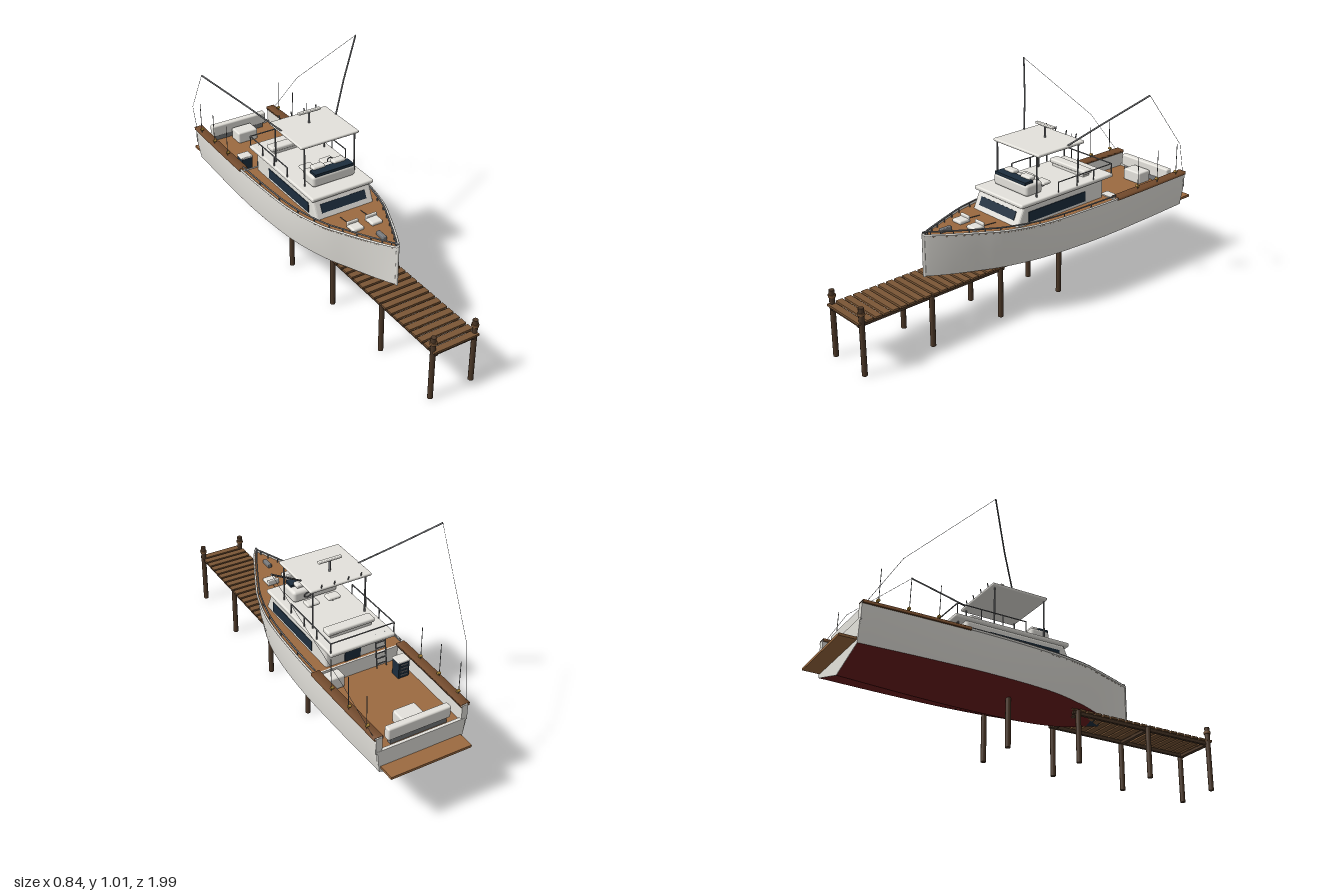
import * as THREE from 'three';
import { RoundedBoxGeometry } from 'three/addons/geometries/RoundedBoxGeometry.js';

const mat = (color) => new THREE.MeshStandardMaterial({ color, side: THREE.DoubleSide });
const V = (x, y, z) => new THREE.Vector3(x, y, z);

export function createModel() {
  const root = new THREE.Group();
  const white = mat(0xe4e2dc), red = mat(0x6b1c1c), teak = mat(0x9c6a40), trim = mat(0x744b2c);
  const navy = mat(0x1c2d3d), metal = mat(0x77797c), plank = mat(0x7a5636), pile = mat(0x4c3828), gold = mat(0xb08a3a);

  const add = (name, geo, m, x = 0, y = 0, z = 0) => {
    const mesh = new THREE.Mesh(geo, m);
    mesh.name = name;
    mesh.position.set(x, y, z);
    root.add(mesh);
    return mesh;
  };
  const box = (name, m, w, h, d, x, y, z) => add(name, new THREE.BoxGeometry(w, h, d), m, x, y, z);
  const soft = (name, m, w, h, d, x, y, z, r = 0.008) => add(name, new RoundedBoxGeometry(w, h, d, 3, r), m, x, y, z);
  const rod = (name, m, a, b, r, sides = 8) => {
    const d = b.clone().sub(a), mid = a.clone().add(b).multiplyScalar(0.5);
    const mesh = add(name, new THREE.CylinderGeometry(r, r, d.length(), sides), m, mid.x, mid.y, mid.z);
    mesh.quaternion.setFromUnitVectors(V(0, 1, 0), d.normalize());
    return mesh;
  };
  const path = (name, m, pts, r) => {
    for (let i = 1; i < pts.length; i++) rod(name, m, pts[i - 1], pts[i], r, 6);
  };
  // Surface spanned between rows, each row a function t -> point
  const loft = (name, m, rows, t0 = 0, t1 = 1, n = 36) => {
    const pos = [], idx = [], k = rows.length;
    for (let i = 0; i <= n; i++) for (const row of rows) pos.push(...row(t0 + (t1 - t0) * i / n).toArray());
    for (let i = 0; i < n; i++) for (let j = 0; j < k - 1; j++) {
      const a = i * k + j, b = a + k;
      idx.push(a, b, a + 1, b, b + 1, a + 1);
    }
    const g = new THREE.BufferGeometry();
    g.setAttribute('position', new THREE.Float32BufferAttribute(pos, 3));
    g.setIndex(idx);
    g.computeVertexNormals();
    return add(name, g, m);
  };
  // Side profile of (z, y) points, extruded across the boat
  const acrossX = (name, m, pts, width, bevel) => {
    const g = new THREE.ExtrudeGeometry(new THREE.Shape(pts.map(p => new THREE.Vector2(...p))), {
      depth: width - 2 * bevel, bevelEnabled: true, bevelSize: bevel, bevelThickness: bevel, bevelSegments: 3 });
    g.rotateY(-Math.PI / 2);
    return add(name, g, m, width / 2 - bevel);
  };

  // Hull stations: z, sheer half width, sheer y, chine half width, chine y, keel y
  const stations = [
    [-0.92, 0.226, 0.45, 0.206, 0.27, 0.205], [-0.6, 0.232, 0.45, 0.218, 0.27, 0.19],
    [-0.3, 0.231, 0.45, 0.22, 0.27, 0.182], [0, 0.213, 0.45, 0.196, 0.27, 0.185],
    [0.2, 0.171, 0.457, 0.145, 0.268, 0.205], [0.33, 0.118, 0.466, 0.09, 0.268, 0.235],
    [0.45, 0.062, 0.475, 0.044, 0.274, 0.258], [0.53, 0.021, 0.482, 0.014, 0.282, 0.276],
    [0.56, 0.003, 0.485, 0.003, 0.287, 0.286]];
  const line = (f) => {
    const c = new THREE.CatmullRomCurve3(stations.map(f), false, 'catmullrom', 0.5);
    return (t) => c.getPoint(t);
  };
  const sheer = line(s => V(s[1], s[2], s[0]));
  const chine = line(s => V(s[3], s[4], s[0]));
  const keel = line(s => V(0, s[5], s[0]));
  const tAt = (z) => {
    let a = 0, b = 1;
    for (let i = 0; i < 30; i++) { const m = (a + b) / 2; if (sheer(m).z < z) a = m; else b = m; }
    return a;
  };
  const side = (f, s, dx = 0, dy = 0) => (t) => {
    const p = f(t);
    return V(s * Math.max(p.x + dx, 0), p.y + dy, p.z);
  };
  const bulge = (t) => {
    const p = sheer(t).lerp(chine(t), 0.5);
    p.x += 0.03 * p.x;
    return p;
  };
  const level = (s, y, inset) => (t) => { const p = sheer(t); return V(s * (p.x - inset), y, p.z); };
  const tCockpit = tAt(-0.42), floorY = 0.37;

  for (const s of [-1, 1]) {
    loft('topside', white, [side(sheer, s), side(bulge, s), side(chine, s)]);
    loft('hullBottom', red, [side(chine, s), keel], 0, 0.62);
    loft('forefoot', navy, [side(chine, s), keel], 0.62, 1, 16);
    // Cockpit bulwark and its wooden cap
    loft('bulwarkLining', white, [level(s, 0.45, 0.03), level(s, floorY, 0.03)], 0, tCockpit, 12);
    loft('gunwaleCap', trim, [level(s, 0.442, -0.008), level(s, 0.456, -0.008), level(s, 0.456, 0.034),
      level(s, 0.442, 0.034), level(s, 0.442, -0.008)], 0, tCockpit, 12);
    box('bulwarkEnd', white, 0.03, 0.08, 0.006, s * 0.211, 0.41, -0.918);
    // Bow rail, rub rail and stanchions
    const railT = (i, n) => tCockpit + (1 - tCockpit) * i / n;
    for (const [name, m, dx, dy, r] of [['bowRail', metal, -0.012, 0.012, 0.004], ['rubRail', white, 0.001, 0, 0.005]]) {
      const pts = Array.from({ length: 30 }, (_, i) => side(sheer, s, dx, dy)(railT(i, 29)));
      add(name, new THREE.TubeGeometry(new THREE.CatmullRomCurve3(pts), 60, r, 6), m);
    }
    for (let i = 1; i < 12; i++) {
      const p = side(sheer, s, -0.012, -0.01)(railT(i, 12));
      rod('railPost', metal, p, p.clone().add(V(0, 0.022, 0)), 0.003, 6);
    }
  }
  rod('stem', white, V(0, 0.285, 0.558), V(0, 0.488, 0.558), 0.007);
  loft('foredeck', teak, [side(sheer, -1, 0, -0.01), side(sheer, 1, 0, -0.01)], tCockpit, 1);
  loft('cockpitFloor', teak, [level(-1, floorY, 0.028), level(1, floorY, 0.028)], 0, tCockpit, 12);
  box('bulkhead', white, 0.44, 0.075, 0.008, 0, 0.405, -0.42);
  const transom = new THREE.Shape([[-0.206, 0.27], [0, 0.205], [0.206, 0.27], [0.219, 0.38], [-0.219, 0.38]].map(p => new THREE.Vector2(...p)));
  add('transom', new THREE.ExtrudeGeometry(transom, { depth: 0.015, bevelEnabled: false }), white, 0, 0, -0.922);
  box('swimPlatform', teak, 0.4, 0.012, 0.085, 0, 0.292, -0.958);

  // Cockpit furniture
  soft('benchBack', white, 0.31, 0.06, 0.035, 0, 0.425, -0.885);
  box('benchBase', metal, 0.28, 0.03, 0.02, 0, 0.385, -0.885);
  soft('baitStation', white, 0.11, 0.06, 0.08, 0, 0.4, -0.815);
  soft('cooler', white, 0.09, 0.065, 0.06, 0.152, 0.405, -0.455);
  box('tackleCabinet', navy, 0.055, 0.08, 0.05, -0.155, 0.41, -0.525);
  soft('cabinetTop', white, 0.062, 0.01, 0.056, -0.155, 0.455, -0.525, 0.004);
  for (let i = 0; i < 4; i++) box('drawerHandle', metal, 0.035, 0.004, 0.005, -0.155, 0.385 + i * 0.018, -0.551);

  // Cabin with windows and flybridge deck
  acrossX('cabin', white, [[0.138, 0.44], [0.1, 0.522], [-0.39, 0.522], [-0.39, 0.38], [0, 0.4]], 0.31, 0.012);
  const windshield = box('windshield', navy, 0.24, 0.042, 0.01, 0, 0.485, 0.127);
  windshield.rotation.x = -0.43;
  for (const s of [-1, 1]) box('sideWindow', navy, 0.006, 0.05, 0.36, s * 0.155, 0.478, -0.1);
  box('cabinDoor', navy, 0.08, 0.12, 0.006, 0.02, 0.44, -0.403);
  soft('flybridgeDeck', white, 0.33, 0.02, 0.59, 0, 0.54, -0.165);
  for (const x of [-0.13, -0.08]) rod('ladderRail', metal, V(x, 0.38, -0.45), V(x, 0.55, -0.425), 0.003, 6);
  for (let i = 0; i < 6; i++) rod('ladderRung', metal, V(-0.13, 0.4 + i * 0.026, -0.447 + i * 0.004), V(-0.08, 0.4 + i * 0.026, -0.447 + i * 0.004), 0.003, 6);

  // Flybridge console, helm and seats
  soft('console', white, 0.23, 0.058, 0.1, 0, 0.58, 0.005, 0.015);
  box('consoleScreen', navy, 0.205, 0.014, 0.05, 0, 0.613, 0.03);
  const wheel = add('wheel', new THREE.TorusGeometry(0.018, 0.003, 6, 20), metal, 0.05, 0.59, -0.058);
  wheel.rotation.x = -0.4;
  for (const s of [-1, 1]) {
    soft('helmSeat', white, 0.065, 0.016, 0.05, s * 0.055, 0.572, -0.1);
    rod('seatPost', metal, V(s * 0.055, 0.55, -0.1), V(s * 0.055, 0.57, -0.1), 0.006);
    soft('headrest', white, 0.065, 0.02, 0.04, s * 0.055, 0.621, -0.005);
  }
  soft('aftBench', white, 0.24, 0.022, 0.055, 0, 0.575, -0.335);
  box('aftBenchBase', white, 0.21, 0.02, 0.04, 0, 0.556, -0.335);
  path('flybridgeRail', metal, [V(-0.16, 0.6, -0.1), V(-0.16, 0.6, -0.45), V(-0.09, 0.6, -0.45)], 0.003);
  path('flybridgeRail', metal, [V(0.16, 0.6, -0.1), V(0.16, 0.6, -0.45), V(-0.09, 0.6, -0.45)], 0.003);
  for (const s of [-1, 1]) for (const z of [-0.1, -0.22, -0.33, -0.45])
    rod('flybridgeRailPost', metal, V(s * 0.16, 0.55, z), V(s * 0.16, 0.6, z), 0.003, 6);

  // Hardtop, radar and rod holders
  soft('hardtop', white, 0.31, 0.014, 0.29, 0, 0.752, -0.125, 0.006);
  for (const s of [-1, 1]) for (const z of [0.012, -0.25])
    rod('hardtopPost', metal, V(s * 0.134, 0.55, z), V(s * 0.134, 0.75, z), 0.004);
  rod('radarMast', metal, V(0, 0.755, -0.165), V(0, 0.82, -0.165), 0.005);
  soft('radarBar', white, 0.12, 0.011, 0.018, 0, 0.819, -0.165, 0.004);
  for (const x of [-0.1, -0.035, 0.035, 0.1]) rod('rodHolder', metal, V(x, 0.75, -0.262), V(x, 0.778, -0.27), 0.003, 6);

  // Outriggers with their lines, fishing rods along the gunwales
  for (const s of [-1, 1]) {
    path('outrigger', metal, [V(s * 0.145, 0.755, -0.165), V(s * 0.26, 0.865, -0.275), V(s * 0.415, 1.007, -0.41)], 0.004);
    path('outriggerLine', metal, [V(s * 0.415, 1.007, -0.41), V(s * 0.3, 0.655, -0.78), V(s * 0.23, 0.455, -0.9)], 0.0009);
    for (const z of [-0.57, -0.71, -0.85]) {
      rod('fishingRod', metal, V(s * 0.227, 0.45, z), V(s * 0.229, 0.62, z + 0.004), 0.0016, 6);
      rod('reel', gold, V(s * 0.217, 0.472, z), V(s * 0.231, 0.472, z), 0.007, 10);
    }
  }

  // Foredeck seats and windlass
  for (const s of [-1, 1]) {
    soft('bowSeat', white, 0.06, 0.018, 0.06, s * 0.05, 0.463, 0.305);
    soft('bowSeatBack', white, 0.06, 0.03, 0.012, s * 0.05, 0.47, 0.28, 0.005);
    rod('grabRail', metal, V(s * 0.055, 0.452, 0.19), V(s * 0.055, 0.458, 0.27), 0.002, 6);
  }
  soft('windlass', metal, 0.02, 0.02, 0.06, 0, 0.474, 0.435, 0.004);

  // Pier: planks, stringers and pilings
  for (let i = 0; i < 19; i++) box('pierPlank', plank, 0.232, 0.01, 0.033, 0, 0.253, 0.975 - i * 0.0437);
  for (const s of [-1, 1]) {
    box('pierStringer', pile, 0.014, 0.016, 0.8, s * 0.1, 0.24, 0.585);
    [0.97, 0.605, 0.21, -0.16].forEach((z, i) => {
      rod('piling', pile, V(s * 0.108, 0, z), V(s * 0.108, i ? 0.252 : 0.322, z), 0.0125, 10);
    });
    rod('pilingCollar', plank, V(s * 0.108, 0.288, 0.97), V(s * 0.108, 0.3, 0.97), 0.017, 10);
  }
  for (const z of [0.97, 0.605, 0.21]) box('pierCrossbeam', pile, 0.22, 0.014, 0.02, 0, 0.238, z);

  return root;
}
